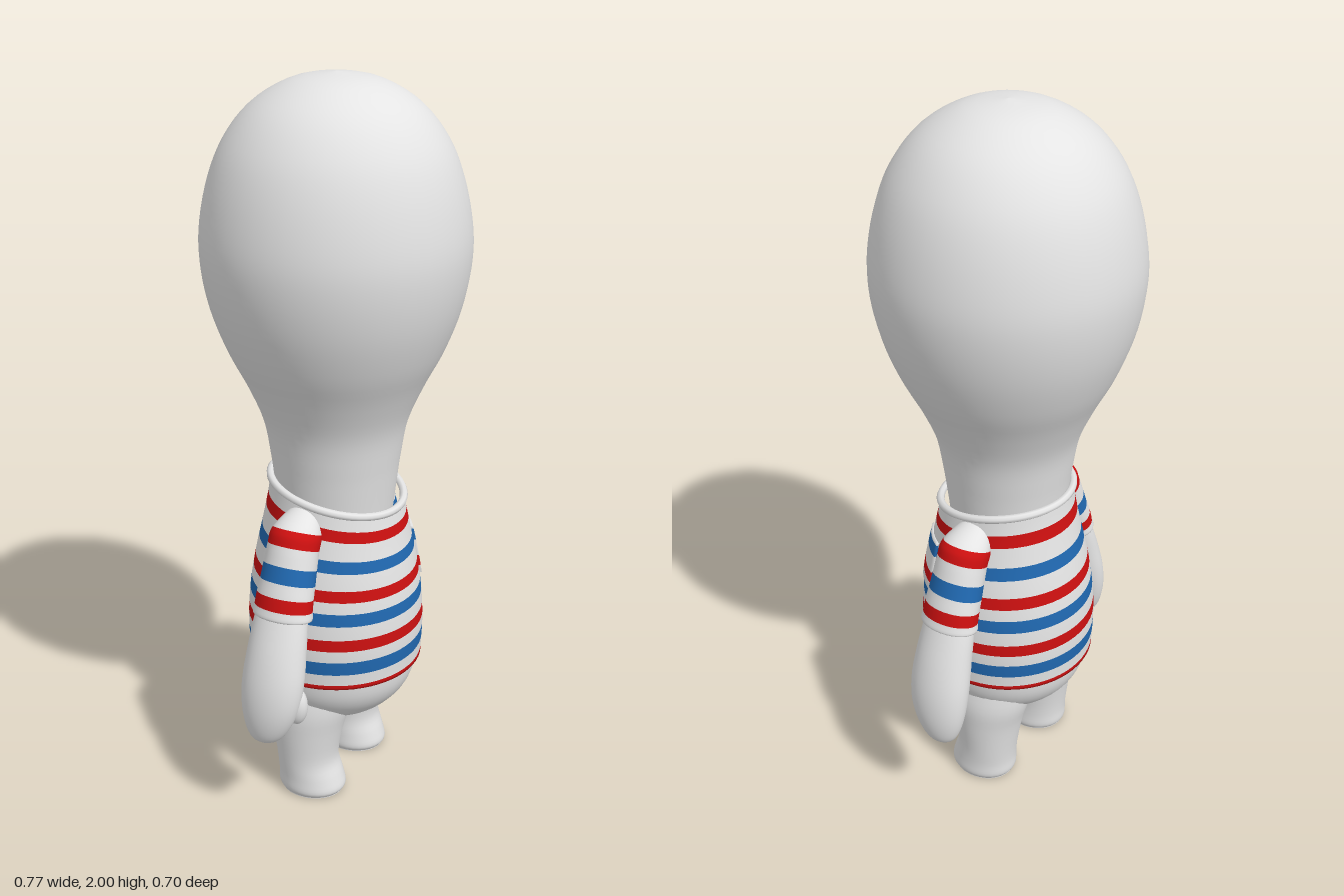
import * as THREE from 'three';

const mat = (name, color) => {
  const m = new THREE.MeshStandardMaterial({ color });
  m.name = name;
  return m;
};

// Skin a list of point rows (top to bottom); strips[i] is the material index between rows i and i+1
function skin(name, rows, strips, mats, closed = true) {
  const n = rows[0].length, pos = [], idx = [], geo = new THREE.BufferGeometry();
  rows.forEach(r => r.forEach(p => pos.push(...p)));
  for (let i = 0; i < rows.length - 1; i++) {
    const start = idx.length;
    for (let j = 0; j < (closed ? n : n - 1); j++) {
      const a = i * n + j, b = i * n + (j + 1) % n;
      idx.push(a, a + n, b + n, a, b + n, b);
    }
    geo.addGroup(start, idx.length - start, strips[i] ?? 0);
  }
  geo.setAttribute('position', new THREE.Float32BufferAttribute(pos, 3));
  geo.setIndex(idx);
  geo.computeVertexNormals();
  const mesh = new THREE.Mesh(geo, mats);
  mesh.name = name;
  return mesh;
}

// Limb from elliptical sections [x, y, z, rx, rz, slope]; side mirrors it in x
function limb(name, sections, side, mats, colours = [], sub = 4, sides = 32) {
  const centre = new THREE.CatmullRomCurve3(
    sections.map(s => new THREE.Vector3(s[0], s[1], s[2])), false, 'catmullrom');
  const size = new THREE.CatmullRomCurve3(
    sections.map(s => new THREE.Vector3(s[3], s[4], s[5] ?? 0)), false, 'catmullrom');
  const count = (sections.length - 1) * sub, rows = [], strips = [];
  for (let i = 0; i <= count; i++) {
    const c = centre.getPoint(i / count), r = size.getPoint(i / count), row = [];
    for (let j = 0; j < sides; j++) {
      const a = j / sides * Math.PI * 2, dx = Math.sin(a) * r.x;
      row.push([side * c.x + dx, c.y + side * dx * r.z, c.z + Math.cos(a) * r.y]);
    }
    rows.push(row);
    strips.push(colours[Math.floor(i / sub)] ?? 0);
  }
  return skin(name, rows, strips, mats);
}

// Shirt surface: radius by height, dipping at the front towards the neckline
const shirtRadii = new THREE.CatmullRomCurve3(
  [0.242, 0.245, 0.238, 0.222, 0.2, 0.181, 0.172].map((r, i) => new THREE.Vector3(0.4 + i * 0.1, r, 0)),
  false, 'catmullrom');
function shirtPoint(y, a, lift = 0) {
  const rise = Math.max(0, (y - 0.4) / 0.54);
  const yy = y - 0.07 * rise * rise * Math.pow((1 + Math.cos(a)) / 2, 1.4);
  const r = shirtRadii.getPoint(THREE.MathUtils.clamp((yy - 0.4) / 0.6, 0, 1)).y + lift;
  return [Math.sin(a) * r, yy, Math.cos(a) * r];
}

export function createModel() {
  const white = mat('white', 0xe4e4e4), red = mat('red', 0xcc1010), blue = mat('blue', 0x2068b0);
  const mats = [white, red, blue];
  const model = new THREE.Group();
  model.name = 'figure';
  const body = new THREE.Group();
  body.name = 'turnedBody';
  body.rotation.y = 0.36;
  body.position.x = 0.011;
  model.add(body);

  const lathe = (name, pts) => {
    const curve = new THREE.SplineCurve(pts.map(p => new THREE.Vector2(...p)));
    const profile = curve.getPoints(pts.length * 4).map(p => p.setX(Math.max(0, p.x)));
    const mesh = new THREE.Mesh(new THREE.LatheGeometry(profile, 48), white);
    mesh.name = name;
    body.add(mesh);
  };

  // Head tapering into the neck
  lathe('head', [[0.155, 0.82], [0.166, 0.92], [0.176, 1.0], [0.194, 1.1], [0.235, 1.2], [0.285, 1.3],
    [0.325, 1.41], [0.346, 1.52], [0.346, 1.62], [0.322, 1.74], [0.28, 1.84], [0.21, 1.925],
    [0.11, 1.982], [0, 2]]);

  // Rounded belly bottom under the shirt
  lathe('belly', [[0, 0.213], [0.07, 0.216], [0.14, 0.243], [0.192, 0.29], [0.22, 0.34], [0.23, 0.4], [0.23, 0.45]]);

  // Striped shirt: [upper height of band, material index], ending at the hem
  const bands = [[0.94, 0], [0.885, 1], [0.848, 0], [0.79, 2], [0.752, 0], [0.7, 1], [0.665, 0],
    [0.63, 2], [0.592, 0], [0.55, 1], [0.515, 0], [0.48, 2], [0.44, 0], [0.406, 1], [0.393, 1]];
  const ring = (y, lift = 0) =>
    Array.from({ length: 64 }, (_, j) => shirtPoint(y, j / 64 * Math.PI * 2, lift));
  const rows = [], strips = [];
  bands.forEach(([y, m], i) => {
    const next = bands[i + 1];
    rows.push(ring(y));
    strips.push(m);
    if (next) {
      rows.push(ring((y + next[0]) / 2));
      strips.push(m);
    }
  });
  rows.push(ring(0.393, -0.02));
  body.add(skin('shirt', rows, strips, mats));

  // Rolled neckline
  const neckline = new THREE.CatmullRomCurve3(
    Array.from({ length: 32 }, (_, j) => new THREE.Vector3(...shirtPoint(0.937, j / 32 * Math.PI * 2))), true);
  const collar = new THREE.Mesh(new THREE.TubeGeometry(neckline, 64, 0.011, 8, true), white);
  collar.name = 'collar';
  body.add(collar);

  // Chest pocket, a thin raised patch following the shirt
  const pocketBands = [[0.805, 0], [0.805, 0], [0.797, 2], [0.757, 0], [0.7, 1], [0.665, 0], [0.64, 0], [0.64, 0]];
  const pocketRows = pocketBands.map(([y], i) => Array.from({ length: 13 }, (_, j) => {
    const edge = i === 0 || i === pocketBands.length - 1 || j === 0 || j === 12;
    const t = THREE.MathUtils.clamp((j - 1) / 10, 0, 1);
    return shirtPoint(y, 0.47 + t * 0.55, edge ? 0 : 0.006);
  }));
  body.add(skin('pocket', pocketRows, pocketBands.map(b => b[1]), mats, false));

  for (const side of [-1, 1]) {
    const label = side > 0 ? 'left' : 'right';

    // Sleeve, one section per stripe edge
    body.add(limb(label + 'Sleeve', [
      [0.14, 0.895, -0.01, 0.02, 0.03, 0.5], [0.2, 0.842, -0.01, 0.058, 0.066, 0.45],
      [0.222, 0.805, -0.01, 0.06, 0.07, 0.42], [0.241, 0.757, -0.01, 0.06, 0.073, 0.4],
      [0.256, 0.717, -0.01, 0.06, 0.076, 0.36], [0.27, 0.684, -0.01, 0.06, 0.079, 0.3],
      [0.28, 0.652, -0.01, 0.06, 0.081, 0.25], [0.286, 0.63, -0.01, 0.061, 0.083, 0.2],
      [0.286, 0.63, -0.01, 0.045, 0.065, 0.2]
    ], side, mats, [0, 1, 0, 2, 0, 1, 0, 0]));

    // Bare forearm and mitten hand
    body.add(limb(label + 'Arm', [
      [0.275, 0.68, -0.012, 0.045, 0.065], [0.292, 0.62, -0.012, 0.055, 0.076],
      [0.316, 0.54, -0.012, 0.062, 0.083], [0.336, 0.46, -0.013, 0.063, 0.088],
      [0.348, 0.39, -0.016, 0.058, 0.083], [0.354, 0.33, -0.022, 0.047, 0.066],
      [0.356, 0.288, -0.028, 0.03, 0.04], [0.356, 0.272, -0.03, 0, 0]
    ], side, white));
    const thumb = new THREE.Mesh(new THREE.SphereGeometry(1, 20, 14), white);
    thumb.name = label + 'Thumb';
    thumb.scale.set(0.028, 0.055, 0.032);
    thumb.position.set(side * 0.325, 0.39, 0.05);
    body.add(thumb);

    // Leg with a slight toe bulge and flat sole
    body.add(limb(label + 'Leg', [
      [0.112, 0.37, -0.02, 0.085, 0.13], [0.12, 0.28, -0.022, 0.1, 0.122],
      [0.126, 0.2, -0.022, 0.094, 0.102], [0.13, 0.11, -0.022, 0.085, 0.088],
      [0.13, 0.055, -0.012, 0.084, 0.093], [0.13, 0.018, -0.007, 0.085, 0.098],
      [0.13, 0.002, -0.007, 0.078, 0.09]
    ], side, white));
    const sole = new THREE.Mesh(new THREE.CylinderGeometry(1, 1, 0.003, 32), white);
    sole.name = label + 'Sole';
    sole.scale.set(0.078, 1, 0.09);
    sole.position.set(side * 0.13, 0.0015, -0.007);
    body.add(sole);
  }
  return model;
}
